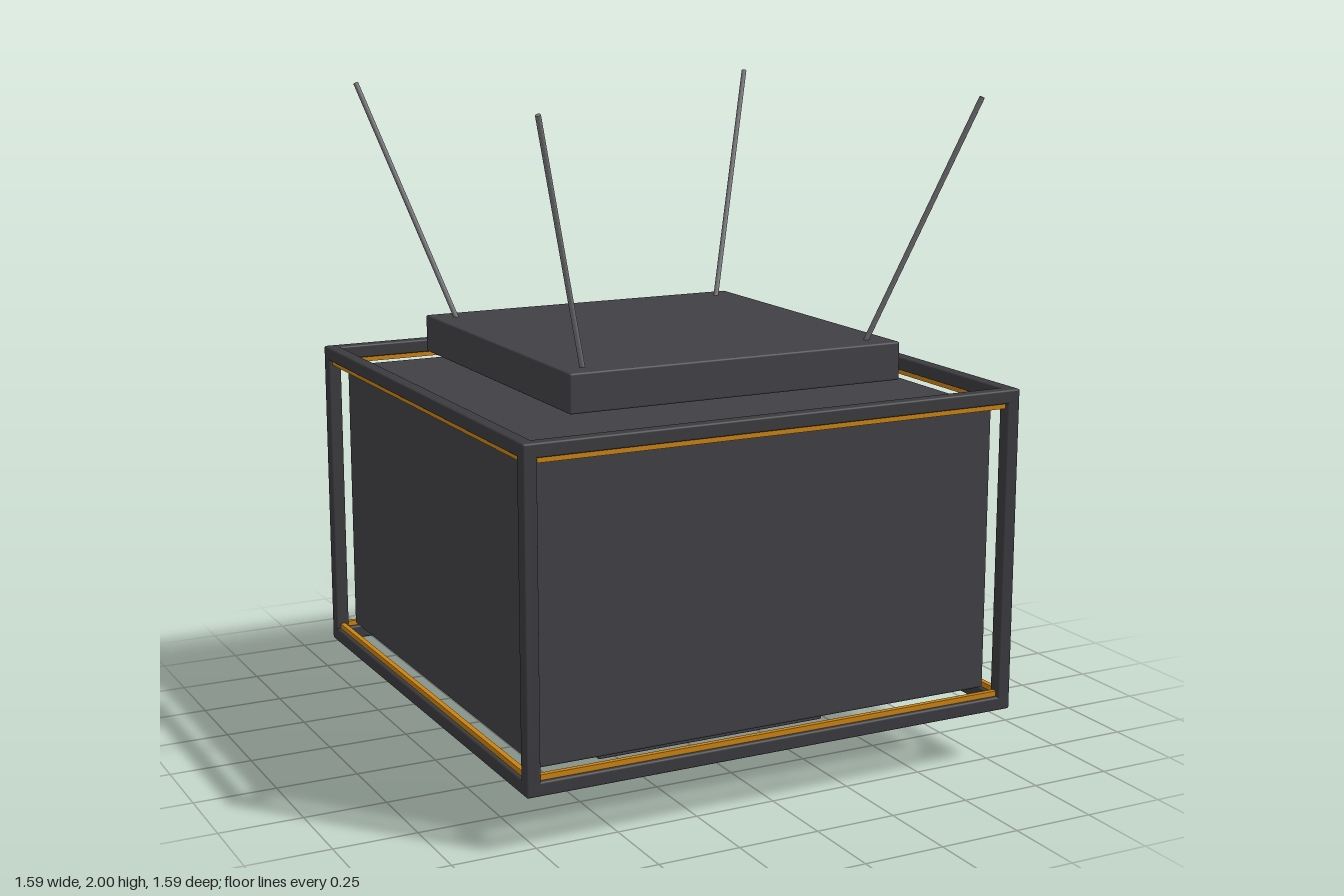
import * as THREE from 'three';
import { RoundedBoxGeometry } from 'three/addons/geometries/RoundedBoxGeometry.js';

const mat = (name, color) => {
  const m = new THREE.MeshStandardMaterial({ color });
  m.name = name;
  return m;
};

export function createModel() {
  const model = new THREE.Group();
  model.name = 'antennaBox';
  const casing = mat('charcoal casing', 0x414045);
  const frameDark = mat('dark frame', 0x3b3b3f);
  const amber = mat('amber trim', 0xc98212);
  const steel = mat('grey steel', 0x77777a);
  const red = mat('red lamp', 0xc83232);

  const add = (parent, name, geometry, material, x, y, z) => {
    const mesh = new THREE.Mesh(geometry, material);
    mesh.name = name;
    mesh.position.set(x, y, z);
    parent.add(mesh);
    return mesh;
  };
  const block = (w, h, d, r = 0.006) => new RoundedBoxGeometry(w, h, d, 2, r);

  // Main body, and the thin slabs floating above and below it
  const mid = 0.66;
  add(model, 'body', block(1.474, 0.87, 1.474, 0.008), casing, 0, mid, 0);
  add(model, 'topSlab', block(1.08, 0.116, 1.08), casing, 0, 1.215, 0);
  add(model, 'bottomSlab', block(0.77, 0.096, 0.77), casing, 0, 0.116, 0);

  // Open frame of square beams around the body
  const frame = new THREE.Group();
  frame.name = 'frame';
  model.add(frame);
  const t = 0.042, c = 0.774, top = 1.132, bottom = 0.188;
  const post = block(t, top - bottom + t, t);
  const beam = block(2 * c + t, t, t);
  for (const x of [-c, c]) for (const z of [-c, c]) add(frame, 'cornerPost', post, frameDark, x, mid, z);

  // Beams and amber strips repeated on the four sides
  const strip = new THREE.BoxGeometry(1.51, 0.016, 0.016);
  for (let i = 0; i < 4; i++) {
    const side = new THREE.Group();
    side.name = 'frameSide';
    side.rotation.y = i * Math.PI / 2;
    frame.add(side);
    add(side, 'topBeam', beam, frameDark, 0, top, c);
    add(side, 'bottomBeam', beam, frameDark, 0, bottom, c);
    add(side, 'topStrip', strip, amber, 0, top - 0.029, c);
    add(side, 'bottomStrip', strip, amber, 0, bottom + 0.029, c);
  }

  // Four antennas leaning out to the corners
  const up = new THREE.Vector3(0, 1, 0);
  for (const sx of [-1, 1]) for (const sz of [-1, 1]) {
    const a = new THREE.Vector3(sx * 0.46, 1.25, sz * 0.46);
    const b = new THREE.Vector3(sx * 0.697, 1.998, sz * 0.697);
    const dir = b.clone().sub(a);
    const rod = add(model, 'antenna', new THREE.CylinderGeometry(0.008, 0.008, dir.length(), 12), steel, 0, 0, 0);
    rod.position.copy(a).lerp(b, 0.5);
    rod.quaternion.setFromUnitVectors(up, dir.normalize());
  }

  // Red lamp under the bottom slab
  add(model, 'lamp', new THREE.CylinderGeometry(0.04, 0.04, 0.075, 24), red, 0, 0.0375, 0);

  return model;
}
